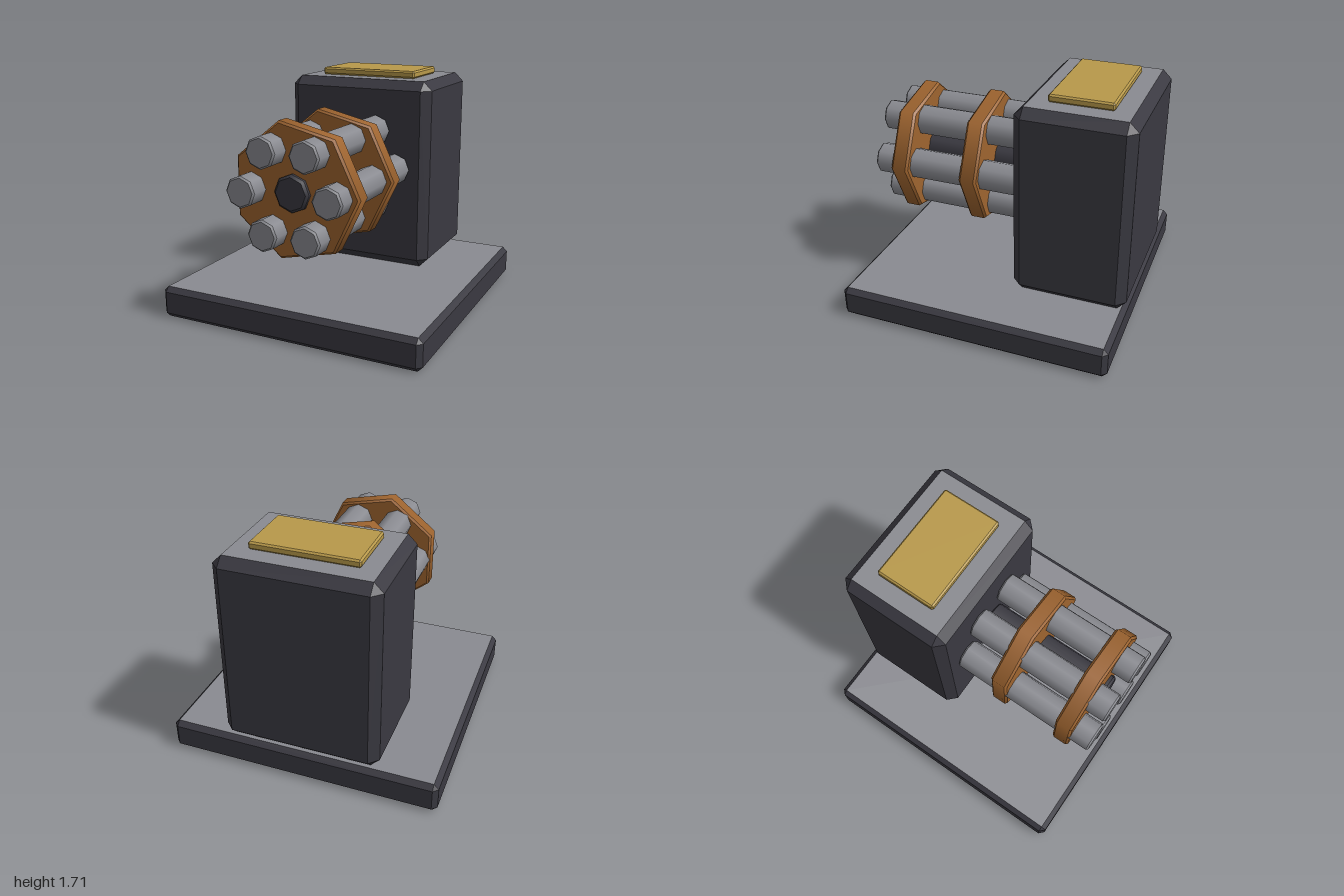
import * as THREE from 'three';
import { mergeGeometries } from 'three/addons/utils/BufferGeometryUtils.js';
import { ConvexGeometry } from 'three/addons/geometries/ConvexGeometry.js';

function material(name, color) {
  const m = new THREE.MeshStandardMaterial({ color });
  m.name = name;
  return m;
}

// Box with every edge chamfered by c; group 1 holds the top and bottom faces.
function chamferBox(w, h, d, c) {
  const pts = [];
  for (const sx of [-1, 1]) for (const sy of [-1, 1]) for (const sz of [-1, 1]) {
    const x = w / 2, y = h / 2, z = d / 2;
    for (const [px, py, pz] of [[x, y - c, z - c], [x - c, y, z - c], [x - c, y - c, z]]) {
      pts.push(new THREE.Vector3(sx * px, sy * py, sz * pz));
    }
  }
  const geo = new ConvexGeometry(pts);
  const normal = geo.attributes.normal;
  for (let i = 0; i < normal.count; i += 3) {
    geo.addGroup(i, 3, Math.abs(normal.getY(i)) > 0.99 ? 1 : 0);
  }
  return geo;
}

// Prism along z with smooth sides and chamfered rims, one corner towards +x.
function rod(r, z0, z1, sides, c) {
  const part = (front, back, a, b, open) =>
    new THREE.CylinderGeometry(front, back, b - a, sides, 1, open, Math.PI / 2)
      .translate(0, (a + b) / 2, 0);
  return mergeGeometries([
    part(r - c, r, z1 - c, z1, false),
    part(r, r, z0 + c, z1 - c, true),
    part(r, r - c, z0, z0 + c, false),
  ]).rotateX(Math.PI / 2);
}

export function createModel() {
  const model = new THREE.Group();
  model.name = 'rotaryBarrelTurret';
  const dark = material('dark metal', 0x3a3941);
  const grey = material('grey metal', 0x8a8b91);
  const bronze = material('bronze', 0x9e642f);
  const gold = material('gold', 0xb8994a);

  const add = (name, geo, mat, x, y, z, parent = model) => {
    const mesh = new THREE.Mesh(geo, mat);
    mesh.name = name;
    mesh.position.set(x, y, z);
    parent.add(mesh);
    return mesh;
  };

  // Base slab, housing and lid plate
  add('base', chamferBox(2, 0.23, 2, 0.035), [dark, grey], 0, 0.115, 0);
  add('housing', chamferBox(1.15, 1.425, 0.84, 0.066), [dark, grey], 0, 0.9425, -0.58);
  add('lidPlate', chamferBox(0.766, 0.055, 0.456, 0.012), [gold, gold], 0, 1.6825, -0.578);

  // Barrel cluster
  const cluster = new THREE.Group();
  cluster.name = 'barrelCluster';
  cluster.position.y = 1.003;
  model.add(cluster);
  add('spindle', rod(0.133, -0.17, 0.85, 8, 0.018), dark, 0, 0, 0, cluster);

  const barrelGeo = rod(0.113, -0.155, 0.96, 8, 0.013);
  for (let i = 0; i < 6; i++) {
    const a = i * Math.PI / 3;
    add('barrel', barrelGeo, grey, 0.326 * Math.cos(a), 0.326 * Math.sin(a), 0, cluster);
  }

  // Clamp plates
  const plateGeo = rod(0.49, -0.066, 0.066, 7, 0.016);
  for (const z of [0.206, 0.744]) add('clampPlate', plateGeo, bronze, 0, 0, z, cluster);

  return model;
}
